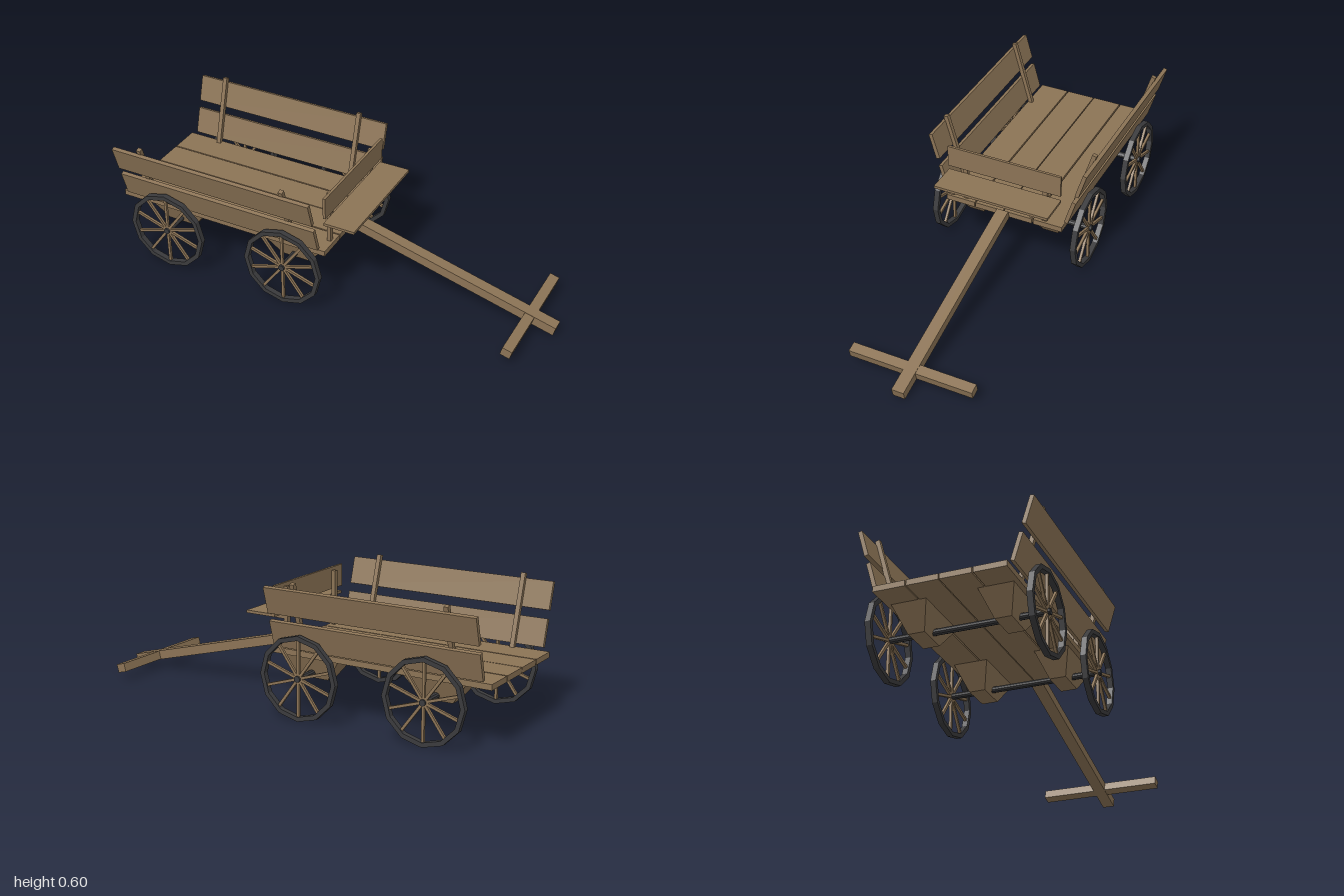
import * as THREE from 'three';

const wood = new THREE.MeshStandardMaterial({ color: 0x8b7355, flatShading: true });
const iron = new THREE.MeshStandardMaterial({ color: 0x3a3a3c, flatShading: true });

const AXLES = [-0.736, -0.146];
const WHEEL_Y = 0.186, WHEEL_R = 0.186, WHEEL_Z = 0.338;

function add(parent, name, geometry, material, x = 0, y = 0, z = 0) {
  const mesh = new THREE.Mesh(geometry, material);
  mesh.name = name;
  mesh.position.set(x, y, z);
  parent.add(mesh);
  return mesh;
}

function box(parent, name, w, h, d, x, y, z) {
  return add(parent, name, new THREE.BoxGeometry(w, h, d), wood, x, y, z);
}

// Twelve-sided iron rim with ten wooden spokes
function makeWheel() {
  const wheel = new THREE.Group();
  wheel.name = 'wheel';
  const inner = WHEEL_R - 0.02, half = 0.0125;
  const profile = [[WHEEL_R, -half], [WHEEL_R, half], [inner, half], [inner, -half], [WHEEL_R, -half]]
    .map(([r, y]) => new THREE.Vector2(r, y));
  add(wheel, 'rim', new THREE.LatheGeometry(profile, 12).rotateX(-Math.PI / 2), iron);
  for (let i = 0; i < 10; i++) {
    const spoke = new THREE.BoxGeometry(0.012, 0.165, 0.012).translate(0, 0.0875, 0);
    add(wheel, 'spoke', spoke.rotateZ((i * Math.PI) / 5), wood);
  }
  return wheel;
}

// Leaning side: two posts with two boards fixed outside them
function makeSide(s) {
  const side = new THREE.Group();
  side.name = s > 0 ? 'frontSide' : 'backSide';
  for (const x of [-0.836, -0.13]) box(side, 'sidePost', 0.02, 0.33, 0.02, x, 0.156, 0);
  for (const t of [0.08, 0.239]) box(side, 'sideBoard', 0.975, 0.122, 0.018, -0.4825, t, s * 0.0165);
  side.position.set(0, 0.285, s * 0.267);
  side.rotation.x = s * 0.287;
  return side;
}

export function createModel() {
  const cart = new THREE.Group();
  cart.name = 'cart';

  // Bed of four planks with narrow gaps
  for (const s of [-1, 1]) {
    box(cart, 'bedPlank', 1.03, 0.025, 0.135, -0.485, 0.2745, s * 0.0695);
    box(cart, 'bedPlank', 1.03, 0.025, 0.137, -0.485, 0.2745, s * 0.2115);
  }

  // Axles, tapered blocks and wheels
  for (const x of AXLES) {
    add(cart, 'axle', new THREE.CylinderGeometry(0.014, 0.014, 0.706, 10).rotateX(Math.PI / 2), iron, x, WHEEL_Y, 0);
    for (const s of [-1, 1]) {
      const block = new THREE.CylinderGeometry(Math.SQRT2, 0.46 * Math.SQRT2, 1, 4)
        .rotateY(Math.PI / 4).scale(0.15, 0.108, 0.078);
      add(cart, 'axleBlock', block, wood, x, 0.214, s * 0.184);
      const wheel = makeWheel();
      wheel.position.set(x, WHEEL_Y, s * WHEEL_Z);
      cart.add(wheel);
    }
  }

  cart.add(makeSide(1), makeSide(-1));

  // Seat with backrest, posts and arms
  box(cart, 'seat', 0.145, 0.012, 0.54, 0.0925, 0.42, 0);
  box(cart, 'backrest', 0.012, 0.1, 0.54, 0.024, 0.5, 0);
  for (const s of [-1, 1]) {
    box(cart, 'seatPost', 0.018, 0.25, 0.021, 0.009, 0.41, s * 0.191);
    box(cart, 'seatArm', 0.13, 0.021, 0.021, 0.083, 0.4035, s * 0.191);
  }

  // Sloping drawbar with cross handle
  const drawbar = new THREE.Group();
  drawbar.name = 'drawbar';
  box(drawbar, 'shaft', 0.994, 0.042, 0.055, 0, 0, 0);
  box(drawbar, 'handle', 0.045, 0.039, 0.566, 0.373, 0, 0);
  drawbar.position.set(0.514, 0.151, 0);
  drawbar.rotation.z = -0.255;
  cart.add(drawbar);

  return cart;
}
